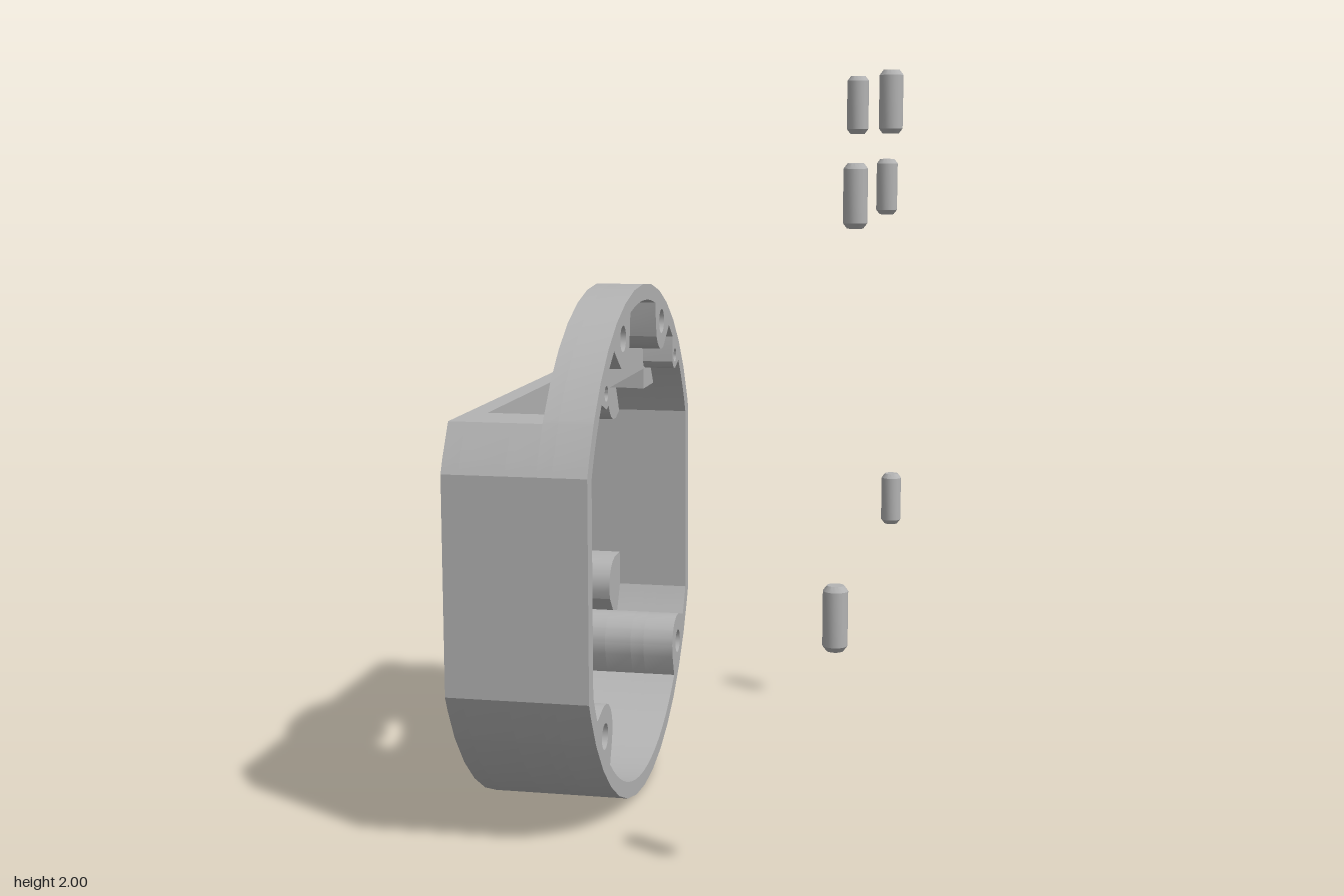
import * as THREE from 'three';
import { toCreasedNormals } from 'three/addons/utils/BufferGeometryUtils.js';

const CY = 0.72; // height of the housing axis
const TAU = Math.PI * 2;

// Distance from the axis to each kind of boundary, along a ray at angle a
const flat = (a, half) => half / Math.max(Math.abs(Math.cos(a)), 1e-6);
const below = (a, h) => (Math.sin(a) > 1e-6 ? h / Math.sin(a) : Infinity);
function boss(a, [u, y, r]) {
  const v = y - CY;
  const along = u * Math.cos(a) + v * Math.sin(a);
  const d = r * r - (u * u + v * v - along * along);
  return along > 0 && d > 0 ? along - Math.sqrt(d) : Infinity;
}
const mirrored = (list) => list.flatMap(([u, y, r]) => [[u, y, r], [-u, y, r]]);

const lowerBosses = mirrored([[0.485, 0.3, 0.085]]);
const upperBosses = mirrored([[0.25, 1.31, 0.08], [0.445, 1.19, 0.04]]);
const posts = mirrored([[0.55, 1.06, 0.085], [0.55, 0.46, 0.085]]);

// Outlines as radius functions
const outer = (a) => Math.min(0.715, flat(a, 0.655));
const outerLow = (a) => Math.min(outer(a), below(a, 0.41));
const inner = (list) => (a) => Math.min(0.67, flat(a, 0.61), ...list.map((b) => boss(a, b)));
const innerLow = (list) => (a) => Math.min(inner(list)(a), below(a, 0.37));
const innerSlot = (a) =>
  Math.min(inner(lowerBosses)(a), Math.max(below(a, 0.37), Math.min(below(a, 0.43), flat(a, 0.42))));

// Samples an outline, keeping its sharp corners
const cornerSet = (list) => list.flatMap((a) => [a, Math.PI - a, -a, Math.PI + a]);
const outerCorners = cornerSet([Math.acos(0.655 / 0.715), Math.asin(0.41 / 0.715)]);
const innerCorners = cornerSet([
  Math.acos(0.61 / 0.67), Math.asin(0.37 / 0.67), Math.atan2(0.37, 0.42), Math.atan2(0.43, 0.42),
]);
function trace(radius, step, corners, from = 0, to = TAU) {
  const angles = [from];
  for (let k = 0; k * step < 720; k++) angles.push(THREE.MathUtils.degToRad(k * step));
  corners.forEach((c) => angles.push(c, c + TAU, c + 2 * TAU));
  if (to - from < TAU - 1e-6) angles.push(to);
  return angles
    .filter((a) => a >= from - 1e-9 && a <= to + 1e-9 && a < from + TAU - 1e-4)
    .sort((a, b) => a - b)
    .filter((a, i, all) => i === 0 || a - all[i - 1] > 1e-4)
    .map((a) => new THREE.Vector2(radius(a) * Math.cos(a), CY + radius(a) * Math.sin(a)));
}
const traceOuter = (f, from, to) => trace(f, 9, outerCorners, from, to);
const traceInner = (f, from, to) => trace(f, 2, innerCorners, from, to);

const round = (u, y, r) => new THREE.Path().absarc(u, y, r, 0, TAU, true);
const lowerHoles = () => lowerBosses.map(([u, y]) => round(u, y, 0.035));
const upperHoles = () => upperBosses.map(([u, y, r]) => round(u, y, r > 0.05 ? 0.035 : 0.02));

export function createModel() {
  const model = new THREE.Group();
  const grey = new THREE.MeshStandardMaterial({ color: 0xb3b3b3 });
  grey.name = 'grey metal';

  // Local z of the housing runs along the model's x axis
  const housing = new THREE.Group();
  housing.name = 'housing';
  housing.rotation.y = Math.PI / 2;
  model.add(housing);

  function layer(name, points, holes, x0, x1) {
    const shape = new THREE.Shape(points);
    shape.holes.push(...holes);
    const geo = new THREE.ExtrudeGeometry(shape, { depth: x1 - x0, bevelEnabled: false, curveSegments: 8 });
    geo.translate(0, 0, x0);
    const mesh = new THREE.Mesh(toCreasedNormals(geo, 0.4), grey);
    mesh.name = name;
    housing.add(mesh);
  }

  // Back plate with bore, screw holes and a pin hole
  layer('backPlate', traceOuter(outerLow), [
    round(0, CY, 0.18),
    ...lowerBosses.map(([u, y]) => round(u, y, 0.055)),
    ...posts.map(([u, y]) => round(u, y, 0.025)),
    round(-0.345, 0.56, 0.012),
  ], -0.495, -0.45);

  // Side wall, open at the top for the slot; corner posts are shorter than the wall
  const slotWall = (list) => {
    const a = Math.atan2(0.41, 0.425), b = Math.atan2(0.37, 0.425);
    return [
      ...traceOuter(outerLow, Math.PI - a, TAU + a),
      ...traceInner(innerLow(list), Math.PI - b, TAU + b).reverse(),
    ];
  };
  layer('wallWithPosts', slotWall([...lowerBosses, ...posts]), lowerHoles(), -0.45, -0.33);
  layer('sideWall', slotWall(lowerBosses), lowerHoles(), -0.33, -0.25);

  // Flange: a web above the slot, then the rim with its screw bosses
  layer('flangeWeb', traceOuter(outer),
    [new THREE.Path(traceInner(innerSlot)), ...lowerHoles(), ...upperHoles()], -0.25, -0.21);
  layer('rim', traceOuter(outer),
    [new THREE.Path(traceInner(inner([...lowerBosses, ...upperBosses]))), ...lowerHoles(), ...upperHoles()],
    -0.21, -0.12);

  // Raised pad under the slot, with rounded lower corners
  const pad = new THREE.Shape();
  pad.moveTo(0.425, 1.13).lineTo(-0.425, 1.13).lineTo(-0.425, 0.93);
  pad.quadraticCurveTo(-0.425, 0.9, -0.395, 0.9).lineTo(0.395, 0.9);
  pad.quadraticCurveTo(0.425, 0.9, 0.425, 0.93);
  layer('slotPad', pad.getPoints(6), [], -0.45, -0.44);

  // Round collar on the back with a stepped bore
  const profile = [
    [0.18, -0.45], [0.125, -0.45], [0.125, -0.48], [0.17, -0.48], [0.17, -0.52], [0.2, -0.52],
    [0.2, -0.555], [0.235, -0.555], [0.235, -0.595], [0.28, -0.595], [0.28, -0.605], [0.322, -0.605],
    [0.33, -0.597], [0.33, -0.51], [0.285, -0.51], [0.285, -0.49],
  ].map(([r, x]) => new THREE.Vector2(r, x));
  const collar = new THREE.Mesh(toCreasedNormals(new THREE.LatheGeometry(profile, 36), 0.4), grey);
  collar.name = 'collar';
  collar.rotation.x = Math.PI / 2;
  collar.position.y = CY;
  housing.add(collar);

  // Loose upright dowel pins with chamfered ends
  const pinProfile = [[0, -0.079], [0.02, -0.079], [0.03, -0.066], [0.03, 0.066], [0.02, 0.079], [0, 0.079]]
    .map(([r, y]) => new THREE.Vector2(r, y));
  const pinGeo = toCreasedNormals(new THREE.LatheGeometry(pinProfile, 16), 0.5);
  [
    [0.505, 0.717, 0.767], [0.505, 0.717, -0.767], [0.505, 1.692, 0.438], [0.505, 1.692, -0.438],
    [0.437, 1.921, -0.253], [0.572, 1.921, 0.25],
  ].forEach((p, i) => {
    const pin = new THREE.Mesh(pinGeo, grey);
    pin.name = 'dowelPin' + (i + 1);
    pin.position.set(...p);
    model.add(pin);
  });

  return model;
}
